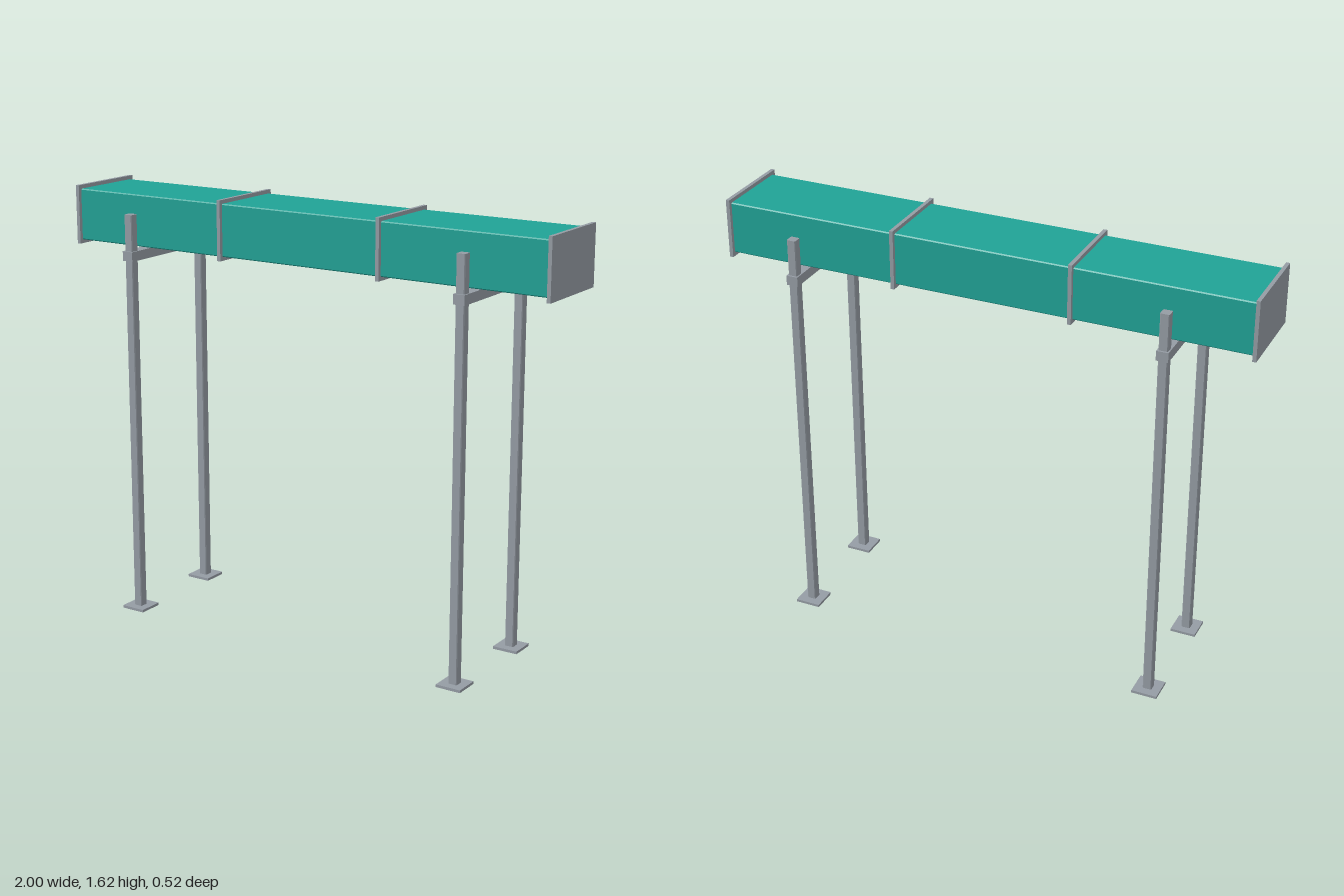
import * as THREE from 'three';

const teal = new THREE.MeshStandardMaterial({ color: 0x20a296 });
teal.name = 'teal';
const steel = new THREE.MeshStandardMaterial({ color: 0x959ca4 });
steel.name = 'steel grey';

// Square bar along z with slightly chamfered long edges, centred on the origin
function chamferedBar(w, h, length, c) {
  const x = w / 2, y = h / 2;
  const shape = new THREE.Shape([
    [x - c, -y], [x, -y + c], [x, y - c], [x - c, y],
    [-x + c, y], [-x, y - c], [-x, -y + c], [-x + c, -y],
  ].map(([px, py]) => new THREE.Vector2(px, py)));
  return new THREE.ExtrudeGeometry(shape, { depth: length, bevelEnabled: false })
    .translate(0, 0, -length / 2);
}

function add(parent, name, geometry, material, x, y, z) {
  const mesh = new THREE.Mesh(geometry, material);
  mesh.name = name;
  mesh.position.set(x, y, z);
  parent.add(mesh);
  return mesh;
}

export function createModel() {
  const model = new THREE.Group();
  model.name = 'ductOnStands';
  const ductY = 1.504;

  // Long rectangular duct
  const duct = chamferedBar(0.294, 0.194, 1.98, 0.004).rotateY(Math.PI / 2);
  add(model, 'duct', duct, teal, 0, ductY, 0);

  // Flanges at the ends and joints
  const flange = new THREE.BoxGeometry(0.014, 0.222, 0.322);
  for (const x of [-0.993, -0.336, 0.336, 0.993]) {
    add(model, 'flange', flange, steel, x, ductY, 0);
  }

  // Two support stands: cross beam, posts and foot plates
  const beam = new THREE.BoxGeometry(0.044, 0.036, 0.468);
  const post = chamferedBar(0.034, 0.034, 1.528, 0.003).rotateX(Math.PI / 2);
  const foot = new THREE.BoxGeometry(0.097, 0.01, 0.097);
  for (const x of [-0.7, 0.7]) {
    const stand = new THREE.Group();
    stand.name = x > 0 ? 'leftStand' : 'rightStand';
    stand.position.x = x;
    add(stand, 'crossBeam', beam, steel, 0, 1.384, 0);
    for (const z of [-0.21, 0.21]) {
      add(stand, 'post', post, steel, 0, 0.774, z);
      add(stand, 'footPlate', foot, steel, 0, 0.005, z);
    }
    model.add(stand);
  }
  return model;
}
